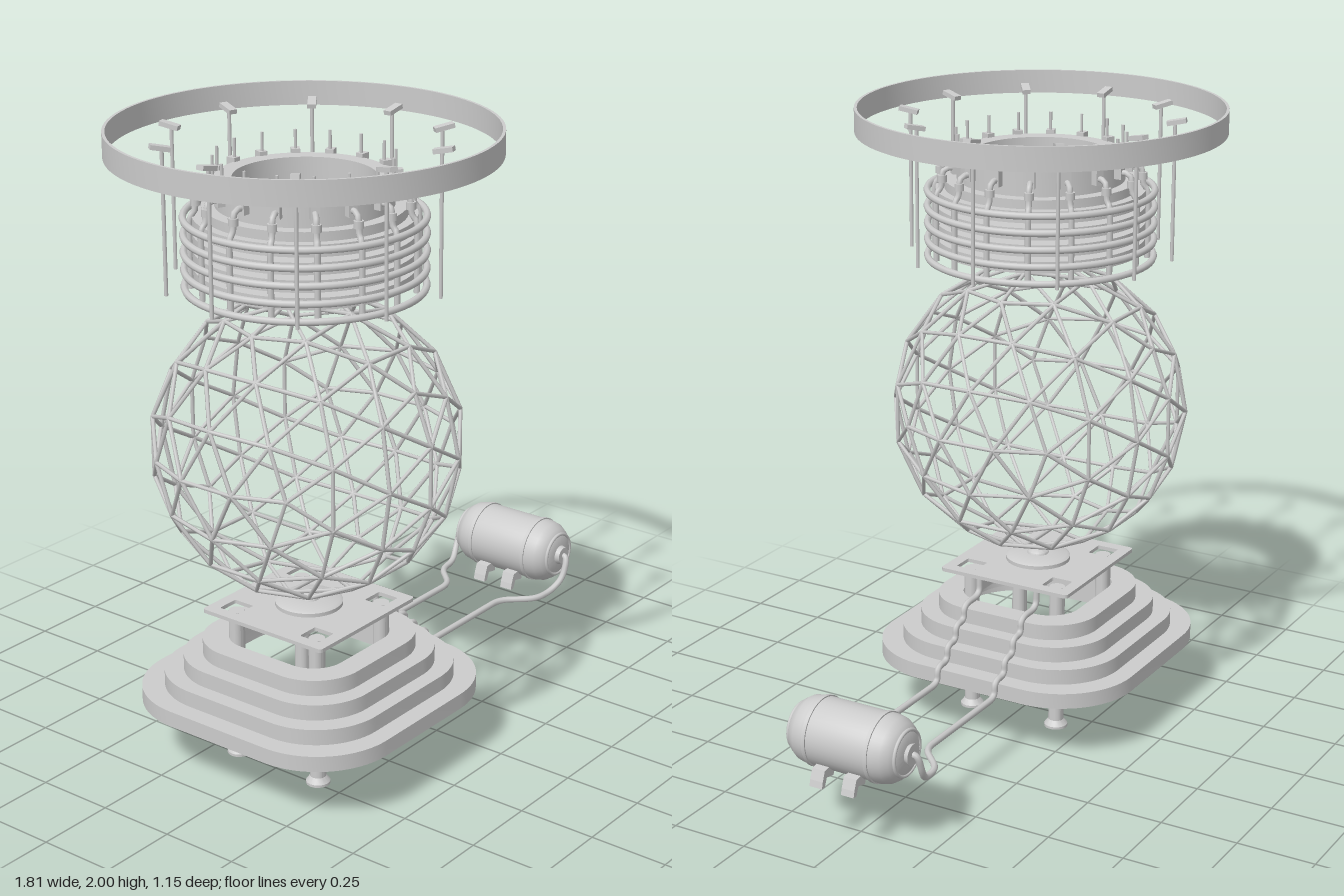
import * as THREE from 'three';
import { mergeGeometries, toCreasedNormals } from 'three/addons/utils/BufferGeometryUtils.js';

const grey = new THREE.MeshStandardMaterial({ color: 0xcccccc, side: THREE.DoubleSide });
const V = (x, y, z) => new THREE.Vector3(x, y, z);

function add(parent, name, geometry) {
  const mesh = new THREE.Mesh(geometry, grey);
  mesh.name = name;
  parent.add(mesh);
  return mesh;
}

// Straight round bar between two points
function bar(a, b, r, sides = 8) {
  const dir = b.clone().sub(a);
  const geo = new THREE.CylinderGeometry(r, r, dir.length(), sides);
  geo.applyQuaternion(new THREE.Quaternion().setFromUnitVectors(V(0, 1, 0), dir.normalize()));
  const mid = a.clone().add(b).multiplyScalar(0.5);
  return geo.translate(mid.x, mid.y, mid.z);
}

// Tube through points with rounded bends
function pipe(points, r, bend, segments) {
  const path = new THREE.CurvePath();
  let from = points[0];
  for (let i = 1; i < points.length - 1; i++) {
    const p = points[i];
    const toward = (q) => p.clone().add(q.clone().sub(p).setLength(Math.min(bend, q.distanceTo(p) * 0.45)));
    const start = toward(points[i - 1]), end = toward(points[i + 1]);
    path.add(new THREE.LineCurve3(from, start));
    path.add(new THREE.QuadraticBezierCurve3(start, p, end));
    from = end;
  }
  path.add(new THREE.LineCurve3(from, points[points.length - 1]));
  return new THREE.TubeGeometry(path, segments, r, 8);
}

function lathe(points, segments = 64) {
  const geo = new THREE.LatheGeometry(points.map(([x, y]) => new THREE.Vector2(x, y)), segments);
  return toCreasedNormals(geo, 0.6);
}

// Ring with a rectangular section
const hoop = (inner, outer, y0, y1, segments) =>
  lathe([[inner, y0], [outer, y0], [outer, y1], [inner, y1], [inner, y0]], segments);

function roundedSquare(Kind, h, r, cx = 0, cy = 0) {
  const s = new Kind(), k = h - r;
  [[k, k], [-k, k], [-k, -k], [k, -k]].forEach(([x, y], i) =>
    s.absarc(cx + x, cy + y, r, i * Math.PI / 2, (i + 1) * Math.PI / 2));
  s.closePath();
  return s;
}

function slab(shape, y0, height) {
  const geo = new THREE.ExtrudeGeometry(shape, { depth: height, bevelEnabled: false, curveSegments: 10 });
  return toCreasedNormals(geo.rotateX(-Math.PI / 2).translate(0, y0, 0), 0.5);
}

// Copies of a geometry spun around the y axis
function around(geo, count) {
  const copies = [];
  for (let i = 0; i < count; i++) copies.push(geo.clone().rotateY(i * 2 * Math.PI / count));
  return mergeGeometries(copies);
}

function buildBase(g) {
  // Stepped hollow tiers
  [0.443, 0.383, 0.332, 0.281].forEach((h, i) => {
    const r = h * 0.58;
    const shape = roundedSquare(THREE.Shape, h, r);
    shape.holes.push(roundedSquare(THREE.Path, h - 0.075, r - 0.06));
    add(g, 'baseTier' + (i + 1), slab(shape, 0.2 + i * 0.05, 0.05));
  });
  // Legs and the top plate pierced above each one
  const plate = roundedSquare(THREE.Shape, 0.232, 0.012);
  for (const x of [-0.158, 0.158]) for (const z of [-0.158, 0.158]) {
    plate.holes.push(roundedSquare(THREE.Path, 0.036, 0.006, x, z));
    add(g, 'leg', lathe([[0, 0], [0.038, 0], [0.038, 0.008], [0.025, 0.025], [0.025, 0.49], [0, 0.49]], 16))
      .position.set(x, 0, z);
  }
  add(g, 'topPlate', slab(plate, 0.488, 0.012));
  // Round hatch with a knob
  add(g, 'hatch', lathe([[0, 0.5], [0.105, 0.5], [0.105, 0.512], [0.095, 0.518], [0.035, 0.52],
    [0.033, 0.526], [0.024, 0.533], [0, 0.536]], 32));
}

function buildCage(g) {
  // One strut for every edge of the geodesic sphere
  const p = new THREE.IcosahedronGeometry(0.469, 2).getAttribute('position');
  const seen = new Set(), struts = [];
  const key = (v) => v.toArray().map((n) => Math.round(n * 1000) + 0).join();
  for (let f = 0; f < p.count; f += 3) for (let e = 0; e < 3; e++) {
    const a = new THREE.Vector3().fromBufferAttribute(p, f + e);
    const b = new THREE.Vector3().fromBufferAttribute(p, f + (e + 1) % 3);
    const id = [key(a), key(b)].sort().join('|');
    if (seen.has(id)) continue;
    seen.add(id);
    struts.push(bar(a, b, 0.0065, 6));
  }
  add(g, 'geodesicCage', mergeGeometries(struts)).position.y = 1.032;
}

function buildCoil(g) {
  // Collar and stacked flanges
  add(g, 'collar', hoop(0.21, 0.262, 1.74, 1.855));
  add(g, 'shoulder', hoop(0.21, 0.3, 1.74, 1.775));
  for (let i = 0; i < 4; i++) {
    const y = 1.556 + i * 0.0515;
    add(g, 'flange', hoop(0.25, 0.328, y, y + 0.036));
  }
  // Outer coil rings
  for (let i = 0; i < 5; i++) {
    const ring = new THREE.TorusGeometry(0.354, 0.011, 8, 64).rotateX(Math.PI / 2);
    add(g, 'coilRing', ring).position.y = 1.53 + i * 0.0522;
  }
  // Risers that bend inward to clamps on the collar
  add(g, 'risers', around(pipe([V(0.335, 1.53, 0), V(0.335, 1.745, 0), V(0.316, 1.76, 0),
    V(0.316, 1.822, 0), V(0.262, 1.822, 0)], 0.0095, 0.03, 20), 16));
  add(g, 'clamps', around(new THREE.BoxGeometry(0.03, 0.065, 0.026).translate(0.27, 1.835, 0), 16));
  add(g, 'riserCollars', around(new THREE.CylinderGeometry(0.015, 0.015, 0.022, 10).translate(0.316, 1.79, 0), 16));
  add(g, 'pins', around(bar(V(0.265, 1.84, 0), V(0.265, 1.925, 0), 0.005, 6), 16));
}

function buildCanopy(g) {
  add(g, 'canopyRing', hoop(0.567, 0.576, 1.925, 2, 96));
  // Hanging rods with small heads
  add(g, 'hangingRods', around(bar(V(0.415, 1.53, 0), V(0.415, 1.965, 0), 0.006), 10));
  const head = new THREE.BoxGeometry(0.06, 0.014, 0.026).rotateZ(0.2).translate(0.42, 1.968, 0);
  add(g, 'rodHeads', around(head, 10));
}

function buildTank(g) {
  // Horizontal pressure vessel with domed ends, bands and end fittings
  const half = [[0.105, 0], [0.105, 0.125], [0.1, 0.15], [0.086, 0.172], [0.066, 0.186], [0.04, 0.192], [0, 0.193]];
  const profile = half.slice(1).reverse().map(([r, z]) => [r, -z]).concat(half);
  add(g, 'tankBody', lathe(profile, 40).rotateX(Math.PI / 2));
  for (const s of [-1, 1]) {
    add(g, 'tankBand', hoop(0.1, 0.109, s * 0.107 - 0.006, s * 0.107 + 0.006, 40).rotateX(Math.PI / 2));
    add(g, 'endRim', new THREE.TorusGeometry(0.07, 0.006, 8, 32)).position.z = s * 0.184;
    add(g, 'endFitting', new THREE.CylinderGeometry(0.028, 0.034, 0.02, 20).rotateX(Math.PI / 2))
      .position.z = s * 0.197;
    // Bent strap feet
    for (const z of [-0.055, 0.055]) {
      const foot = new THREE.Shape([[0.055, -0.08], [0.06, -0.1], [0.095, -0.093], [0.107, -0.12], [0.122, -0.12],
        [0.117, -0.1], [0.105, -0.068], [0.08, -0.065]].map(([x, y]) => new THREE.Vector2(s * x, y)));
      const geo = new THREE.ExtrudeGeometry(foot, { depth: 0.044, bevelEnabled: false });
      add(g, 'tankFoot', geo).position.z = z - 0.022;
    }
  }
}

export function createModel() {
  const model = new THREE.Group();
  const column = new THREE.Group();
  column.name = 'column';
  column.position.x = -0.329;
  buildBase(column);
  buildCage(column);
  buildCoil(column);
  buildCanopy(column);
  model.add(column);

  const tank = new THREE.Group();
  tank.name = 'tank';
  tank.position.set(0.78, 0.32, 0);
  buildTank(tank);
  model.add(tank);

  // Feed pipes stepping down the tiers and looping into the tank ends
  const steps = [[-0.13, 0.49], [-0.13, 0.42], [-0.03, 0.42], [-0.03, 0.368], [0.022, 0.368], [0.022, 0.318],
    [0.075, 0.318], [0.075, 0.267], [0.136, 0.267], [0.136, 0.212]];
  for (const s of [-1, 1]) {
    const points = steps.map(([x, y]) => V(x, y, s * 0.105));
    points.push(V(0.55, 0.212, s * 0.105), V(0.635, 0.21, s * 0.195), V(0.71, 0.212, s * 0.203),
      V(0.755, 0.25, s * 0.222), V(0.78, 0.32, s * 0.222), V(0.78, 0.32, s * 0.19));
    add(model, 'feedPipe', pipe(points, 0.0105, 0.04, 200));
  }
  return model;
}
